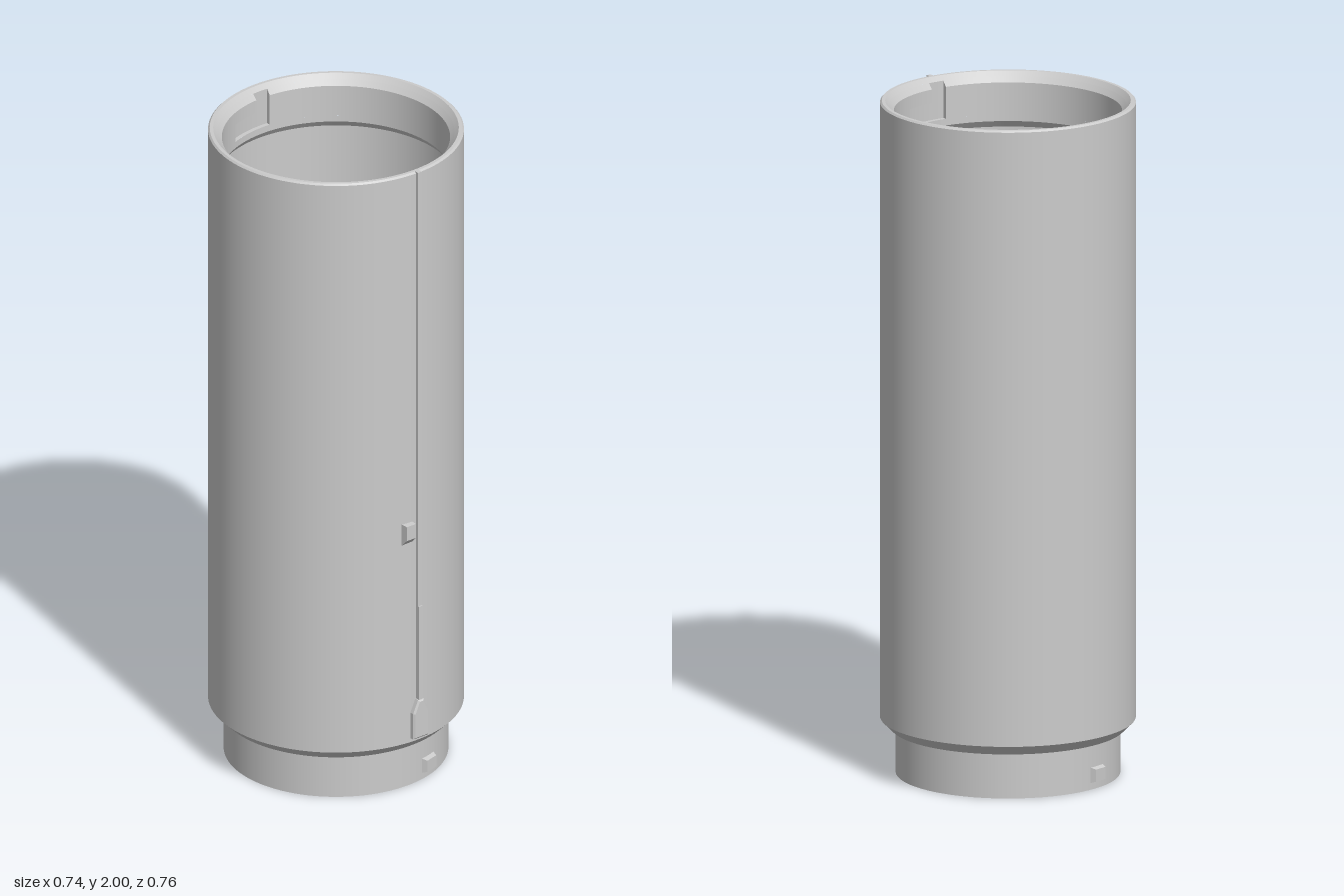
import * as THREE from 'three';
import { mergeGeometries } from 'three/addons/utils/BufferGeometryUtils.js';

const V = (x, y) => new THREE.Vector2(x, y);
const SEGMENTS = 128;

// Revolve each profile edge on its own so that corners stay sharp
function revolve(points, start = 0, length = Math.PI * 2) {
  const n = Math.max(2, Math.round(SEGMENTS * length / (Math.PI * 2)));
  const strips = [];
  for (let i = 0; i + 1 < points.length; i++) {
    strips.push(new THREE.LatheGeometry([V(...points[i]), V(...points[i + 1])], n, start, length));
  }
  return mergeGeometries(strips);
}

// Flat radial wall at a given angle, outlined in (radius, height)
function radialWall(points, angle) {
  const shape = new THREE.Shape(points.map((p) => V(...p)));
  return new THREE.ShapeGeometry(shape).rotateY(angle - Math.PI / 2);
}

// Box whose outer (+z) face is shrunk, and may be shifted up
function taperedBlock(w, h, d, sx, sy, lift = 0) {
  const g = new THREE.BoxGeometry(w, h, d).toNonIndexed();
  const p = g.attributes.position;
  for (let i = 0; i < p.count; i++) {
    if (p.getZ(i) > 0) p.setXY(i, p.getX(i) * sx, p.getY(i) * sy + lift);
  }
  g.computeVertexNormals();
  return g;
}

export function createModel() {
  const group = new THREE.Group();
  const material = new THREE.MeshStandardMaterial({ color: 0xcccccc });
  const thin = new THREE.MeshStandardMaterial({ color: 0xcccccc, side: THREE.DoubleSide });
  const add = (name, geometry, x = 0, y = 0, z = 0, mat = material) => {
    const mesh = new THREE.Mesh(geometry, mat);
    mesh.name = name;
    mesh.position.set(x, y, z);
    group.add(mesh);
    return mesh;
  };

  // Hollow tube: socket floor, widened bore, neck, tapered shoulder, outer wall, lip
  const R = 0.33, D = 0.343; // socket radius and slot depth radius
  const floor = 1.875, roof = 1.93, lip = 1.97, lipOut = 1.986;
  add('tube', revolve([
    [R, floor], [R, 1.855], [0.345, 1.835], [0.345, 0.175], [0.3, 0.13], [0.3, 0],
    [0.325, 0], [0.325, 0.135], [0.34, 0.135], [0.37, 0.165], [0.37, 1.995],
    [0.365, 2], [0.355, 2], [D, lipOut],
  ]));

  // Socket wall with two L-shaped locking slots, half a turn apart
  const a = 0.076, b = 0.38;
  const plain = [[D, lipOut], [R, lip], [R, floor]];
  const run = [[D, lipOut], [R, lip], [R, roof], [D, roof], [D, floor], [R, floor]];
  const entry = [[D, lipOut], [D, floor], [R, floor]];
  const walls = [];
  const sectors = [];
  for (const turn of [0, Math.PI]) {
    sectors.push(
      revolve(entry, turn - a, 2 * a),
      revolve(run, turn + a, b - a),
      revolve(plain, turn + b, Math.PI - a - b),
    );
    walls.push(
      radialWall([[R, floor], [D, floor], [D, lipOut], [R, lip]], turn - a),
      radialWall([[R, roof], [D, roof], [D, lipOut], [R, lip]], turn + a),
      radialWall([[R, floor], [D, floor], [D, roof], [R, roof]], turn + b),
    );

    // Locking peg on the neck
    const angle = turn + 0.262;
    const r = 0.328;
    const peg = add('lockingPeg', taperedBlock(0.062, 0.05, 0.022, 0.72, 0.72),
      r * Math.sin(angle), 0.043, r * Math.cos(angle));
    peg.rotation.y = angle;
  }
  add('socketWall', mergeGeometries(sectors));
  add('slotSides', mergeGeometries(walls), 0, 0, 0, thin);

  // Thin index ridge down the front, a little taller near its foot
  add('indexRidge', new THREE.BoxGeometry(0.014, 1.4, 0.018), 0, 1.3, 0.37);
  add('indexRidgeFoot', new THREE.BoxGeometry(0.014, 0.34, 0.022), 0, 0.43, 0.372);

  // Pointed block at the foot of the ridge
  const outline = new THREE.Shape([
    V(-0.028, 0.178), V(0.028, 0.178), V(0.028, 0.26), V(0.01, 0.3), V(-0.01, 0.3), V(-0.028, 0.26),
  ]);
  add('pointerBlock', new THREE.ExtrudeGeometry(outline, {
    depth: 0.017, bevelEnabled: true, bevelThickness: 0.005, bevelSize: 0.005, bevelOffset: -0.005, bevelSegments: 1,
  }), 0, 0, 0.365);

  // Small stop beside the ridge, sloped underneath
  add('sideStop', taperedBlock(0.038, 0.075, 0.028, 0.9, 0.6, 0.014), -0.039, 0.838, 0.373);

  // The tube sits slightly back so that the front details balance the depth
  for (const part of group.children) part.position.z -= 0.008;
  return group;
}
